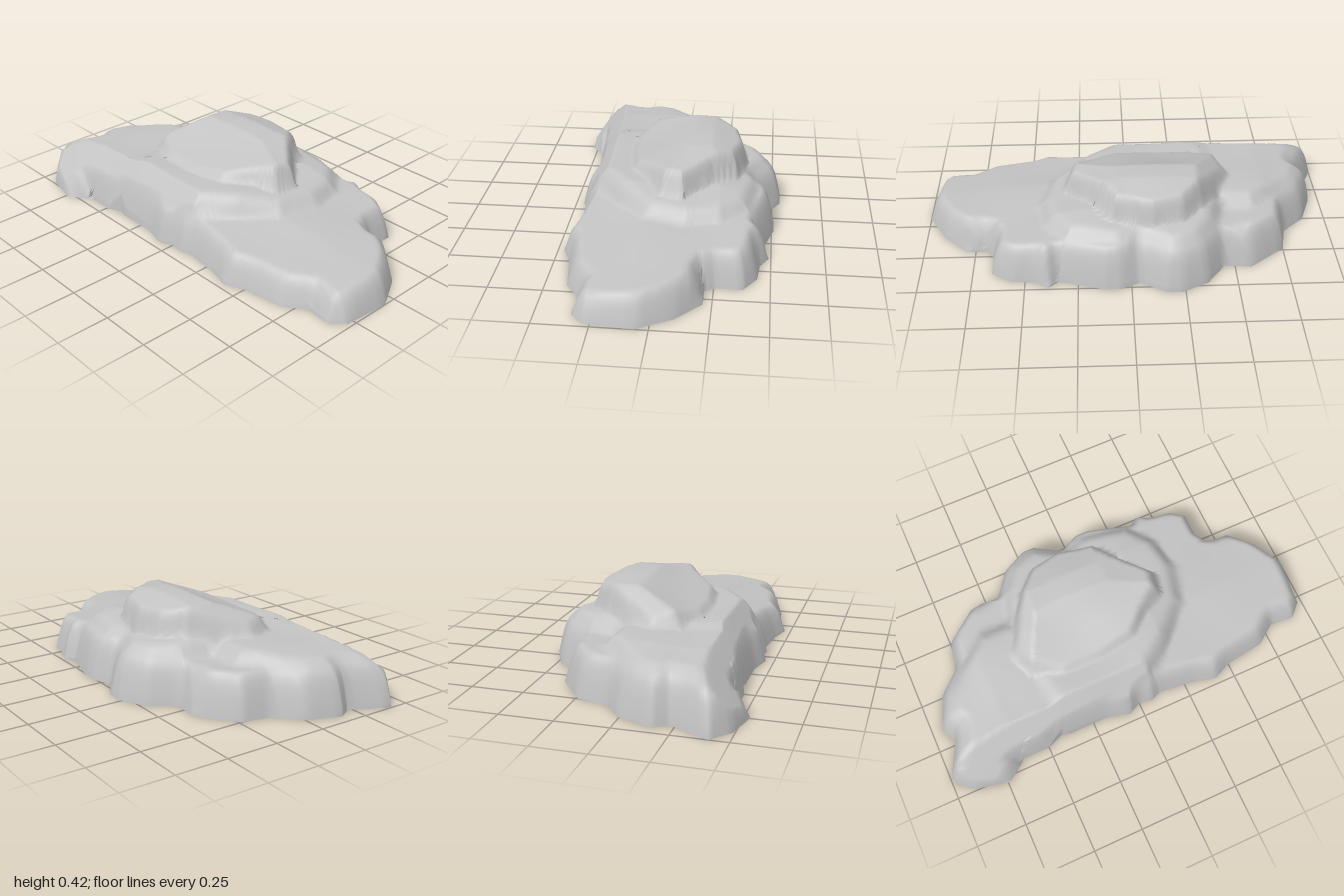
import * as THREE from 'three';

// Footprint of the whole rock as x, z pairs, counter-clockwise seen from above
const footprint = pairs([
  -1, .41, -.91, .49, -.74, .53, -.66, .45, -.5, .45, -.42, .42, -.38, .43, -.18, .43, -.06, .46, 0, .43,
  .07, .44, .12, .42, .3, .44, .41, .47, .5, .43, .7, .4, .8, .33, .92, .34, .98, .28, 1, .06,
  .91, -.1, .79, -.21, .69, -.21, .66, -.26, .66, -.38, .57, -.44, .46, -.45, .39, -.49, .34, -.45, .13, -.51,
  .05, -.51, -.04, -.47, -.16, -.54, -.24, -.54, -.36, -.48, -.45, -.36, -.58, -.37, -.75, -.24, -.78, -.1,
  -.89, 0, -.95, .16, -.91, .23]);

// Boulders that blend into one surface: outline, foot height, top height, rounding width
const boulders = [
  { // low slab under everything, sinking towards +x and the front
    outline: footprint, foot: 0, round: .08,
    top: (x, z) => (x > 0 ? .22 - .08 * x : .2) - (x > 0 ? .13 * Math.max(0, z - .08) : 0),
  },
  { // side boulder
    outline: pairs([-1, .41, -.91, .49, -.74, .53, -.66, .45, -.5, .45, -.36, .43, -.25, .3, -.25, 0, -.4, -.22,
      -.62, -.22, -.77, -.1, -.89, 0, -.95, .16, -.91, .23]),
    foot: 0, round: .13, top: (x) => Math.min(.258, .258 + .13 * (x + .65)),
  },
  { // middle terrace
    outline: pairs([-.52, .15, -.46, .44, -.18, .43, 0, .43, .1, .42, .28, .28, .44, .12, .5, -.1, .46, -.3,
      .34, -.45, .05, -.51, -.04, -.47, -.16, -.54, -.24, -.54, -.36, -.48, -.46, -.34, -.52, -.1]),
    foot: 0, round: .14,
    top: (x, z) => .275 - .15 * Math.max(0, x - .2) - .15 * Math.max(0, -.25 - z),
  },
  { // crown, steep at the back and sloping down to the front
    outline: pairs([-.5, .02, -.45, .14, -.3, .22, -.1, .22, .08, .19, .18, .1, .29, .03, .31, -.08,
      .17, -.22, .09, -.33, -.1, -.37, -.25, -.34, -.34, -.25, -.41, -.15]),
    foot: .25, round: .05,
    top: (x, z) => Math.min(.41, .42 - .16 * x, .28 + .72 * (x + .5), .46 + .25 * z, .375 - .38 * z),
  },
];

function pairs(list) {
  const points = [];
  for (let i = 0; i < list.length; i += 2) points.push([list[i], list[i + 1]]);
  return points;
}

// Distance from a point to the edge of an outline, zero when outside it
function depthInside(outline, x, z) {
  let inside = false, nearest = Infinity;
  outline.forEach(([ax, az], i) => {
    const [bx, bz] = outline[(i + 1) % outline.length];
    const dx = bx - ax, dz = bz - az;
    const t = THREE.MathUtils.clamp(((x - ax) * dx + (z - az) * dz) / (dx * dx + dz * dz), 0, 1);
    nearest = Math.min(nearest, Math.hypot(x - ax - t * dx, z - az - t * dz));
    if ((az > z) !== (bz > z) && x < ax + dx * (z - az) / dz) inside = !inside;
  });
  return inside ? nearest : 0;
}

// Larger of two heights with a soft crease between them
function softMax(a, b) {
  const k = .03, blend = Math.max(0, k - Math.abs(a - b)) / k;
  return Math.max(a, b) + blend * blend * k / 4;
}

function heightAt(x, z) {
  let y = 0;
  for (const { outline, foot, round, top } of boulders) {
    const d = depthInside(outline, x, z);
    if (d === 0) continue;
    const t = Math.min(d / round, 1);
    y = softMax(y, foot + (top(x, z) - foot) * (1 - (1 - t) ** 2.5));
  }
  // the front face leans back
  y = Math.min(y, 1.1 * (.56 - z));
  // shallow weathering
  return y * (1 + .02 * Math.sin(9 * x + 4 * z) * Math.sin(11 * z - 3 * x));
}

// Skin made of rings that shrink from the footprint to the centre
function rockSkin(rim, rings) {
  const n = rim.length, positions = [], index = [];
  for (let r = 0; r < rings; r++) {
    const s = 1 - (r / rings) ** 1.25;
    for (const [px, pz] of rim) {
      const x = px * s, z = pz * s;
      positions.push(x, r === 0 ? 0 : heightAt(x, z), z);
    }
  }
  positions.push(0, heightAt(0, 0), 0);
  for (let r = 0; r < rings; r++) {
    for (let i = 0; i < n; i++) {
      const j = (i + 1) % n, a = r * n + i, b = r * n + j;
      if (r === rings - 1) index.push(a, b, rings * n);
      else index.push(a, b, b + n, a, b + n, a + n);
    }
  }
  const geometry = new THREE.BufferGeometry();
  geometry.setAttribute('position', new THREE.Float32BufferAttribute(positions, 3));
  geometry.setIndex(index);
  geometry.computeVertexNormals();
  return geometry;
}

export function createModel() {
  const group = new THREE.Group();
  group.name = 'rock';
  const stone = new THREE.MeshStandardMaterial({ color: 0xc3c3c3 });
  stone.name = 'grey stone';

  // Split every footprint edge so corners stay on the rim
  const rim = footprint.flatMap(([ax, az], i) => {
    const [bx, bz] = footprint[(i + 1) % footprint.length];
    return [0, .25, .5, .75].map((t) => [ax + (bx - ax) * t, az + (bz - az) * t]);
  });
  const skin = new THREE.Mesh(rockSkin(rim, 64), stone);
  skin.name = 'rockSurface';

  // Flat underside
  const shape = new THREE.Shape(footprint.map(([x, z]) => new THREE.Vector2(x, z)));
  const underside = new THREE.Mesh(new THREE.ShapeGeometry(shape).rotateX(Math.PI / 2), stone);
  underside.name = 'underside';

  group.add(skin, underside);
  return group;
}
